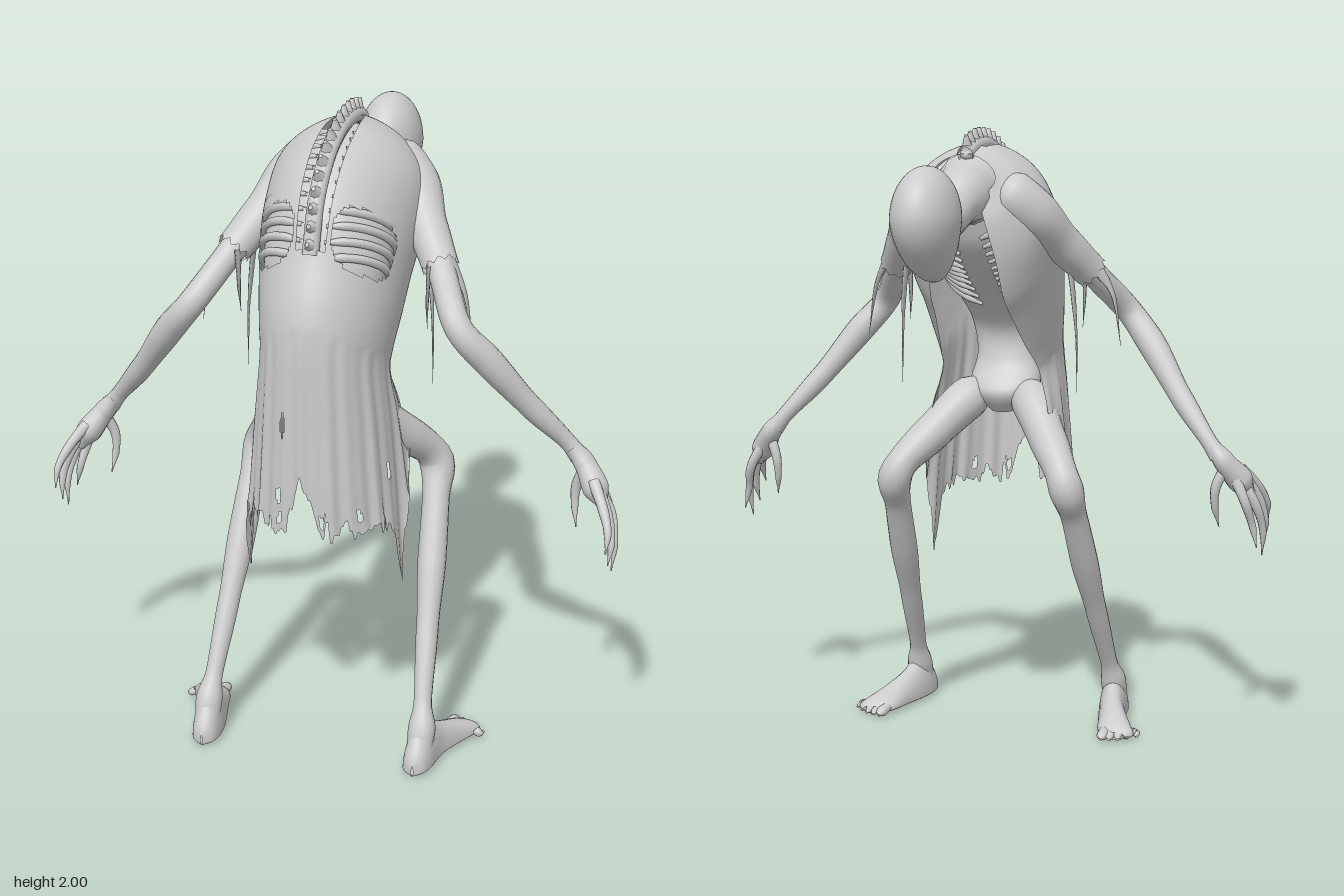
import * as THREE from 'three';
import { mergeVertices } from 'three/addons/utils/BufferGeometryUtils.js';

const grey = new THREE.MeshStandardMaterial({ color: 0xcccccc, side: THREE.DoubleSide });
grey.name = 'ashGrey';
const { lerp, clamp, degToRad } = THREE.MathUtils;

let seed = 7;
const rand = () => (seed = (seed * 16807) % 2147483647) / 2147483647;

function add(parent, name, geometry) {
  const mesh = new THREE.Mesh(geometry, grey);
  mesh.name = name;
  parent.add(mesh);
  return mesh;
}

function smooth(geometry) {
  geometry.deleteAttribute('uv');
  geometry.deleteAttribute('normal');
  const g = mergeVertices(geometry, 1e-5);
  g.computeVertexNormals();
  return g;
}

// Tapering tube through points [x, y, z, radius]; flat squashes it per axis
function limb(points, flat = [1, 1, 1], segs = 28, sides = 14, jag = 0) {
  const path = new THREE.CatmullRomCurve3(points.map(p => new THREE.Vector3(p[0], p[1], p[2])), false, 'centripetal');
  const g = new THREE.TubeGeometry(path, segs, 1, sides);
  const pos = g.attributes.position, v = new THREE.Vector3(), scale = new THREE.Vector3(...flat);
  for (let i = 0; i <= segs; i++) {
    const c = path.getPointAt(i / segs), dir = path.getTangentAt(i / segs);
    const t = path.getUtoTmapping(i / segs) * (points.length - 1);
    const k = Math.min(Math.floor(t), points.length - 2);
    const r = lerp(points[k][3], points[k + 1][3], THREE.MathUtils.smoothstep(t - k, 0, 1));
    for (let j = 0; j <= sides; j++) {
      const n = i * (sides + 1) + j;
      v.fromBufferAttribute(pos, n).sub(c).multiplyScalar(r).multiply(scale).add(c);
      if (i === segs && jag) v.addScaledVector(dir, (j % sides) % 2 ? jag : -jag * 0.4);
      pos.setXYZ(n, v.x, v.y, v.z);
    }
  }
  return smooth(g);
}

// Catmull-Rom value of column c in a table of sections
function sample(table, v, c) {
  const n = table.length - 1, i = clamp(Math.floor(v), 0, n - 1), t = v - i;
  const [p0, p1, p2, p3] = [-1, 0, 1, 2].map(k => table[clamp(i + k, 0, n)][c]);
  return p1 + 0.5 * t * (p2 - p0 + t * (2 * p0 - 5 * p1 + 4 * p2 - p3 + t * (3 * (p1 - p2) + p3 - p0)));
}

// Point on a section: [backZ, backY, frontZ, frontY, halfWidth, sweep in degrees]
function onBody(table, v, t, grow = 0) {
  const [bz, by, fz, fy, w, sweep] = [0, 1, 2, 3, 4, 5].map(c => sample(table, v, c));
  const max = degToRad(sweep), a = t * max;
  const s = (1 - Math.cos(a)) / (1 - Math.cos(max));
  // sloping shoulders: the sides drop a little faster than the depth
  return new THREE.Vector3((w + grow) * Math.sin(a), lerp(by, fy, Math.pow(s, 0.85)), lerp(bz + grow, fz - grow, s));
}

function loft(f, rows, cols, skip = () => false) {
  const pos = [], index = [];
  for (let i = 0; i <= rows; i++)
    for (let j = 0; j <= cols; j++) pos.push(...f(i / rows, (j / cols) * 2 - 1, j).toArray());
  for (let i = 0; i < rows; i++) {
    for (let j = 0; j < cols; j++) {
      if (skip((i + 0.5) / rows, ((j + 0.5) / cols) * 2 - 1)) continue;
      const a = i * (cols + 1) + j, b = a + cols + 1;
      index.push(a, b, a + 1, a + 1, b, b + 1);
    }
  }
  const g = new THREE.BufferGeometry();
  g.setAttribute('position', new THREE.Float32BufferAttribute(pos, 3));
  g.setIndex(index);
  g.computeVertexNormals();
  return g;
}

const coatTable = [
  [-0.07, 1.925, -0.11, 1.80, 0.105, 150], [0.03, 1.95, -0.12, 1.71, 0.18, 152],
  [0.16, 1.945, -0.10, 1.60, 0.235, 152], [0.30, 1.89, -0.05, 1.48, 0.24, 150],
  [0.41, 1.78, 0.02, 1.40, 0.23, 146], [0.47, 1.63, 0.10, 1.31, 0.215, 138],
  [0.525, 1.50, 0.16, 1.25, 0.20, 128], [0.55, 1.38, 0.19, 1.20, 0.193, 120],
  [0.555, 1.20, 0.18, 1.12, 0.215, 116], [0.56, 1.00, 0.17, 1.00, 0.235, 115],
  [0.56, 0.80, 0.17, 0.80, 0.25, 115],
];
const bodyTable = [
  [-0.06, 1.89, -0.10, 1.77, 0.07, 180], [0.03, 1.925, -0.06, 1.73, 0.12, 180],
  [0.15, 1.92, -0.02, 1.64, 0.18, 180], [0.28, 1.865, 0.05, 1.56, 0.202, 180],
  [0.385, 1.765, 0.12, 1.50, 0.197, 180], [0.445, 1.63, 0.22, 1.42, 0.18, 180],
  [0.47, 1.48, 0.30, 1.32, 0.135, 180], [0.45, 1.30, 0.29, 1.22, 0.105, 180],
  [0.42, 1.14, 0.23, 1.13, 0.115, 180], [0.34, 1.06, 0.27, 1.06, 0.035, 180],
];
// Hem height from the middle of the back (0) to the front edge (1)
const hemLine = [[0, 1.0], [0.06, 0.88], [0.1, 0.8], [0.5, 0.79], [0.62, 0.73], [0.72, 0.51], [0.8, 0.8], [1, 1.02]];

function buildCoat(group) {
  const cols = 168;
  const jags = Array.from({ length: cols + 1 }, () => (rand() - 0.5) * 0.08);
  const hem = t => {
    const k = Math.max(1, hemLine.findIndex(h => h[0] >= t));
    const [a, b] = [hemLine[k - 1], hemLine[k]];
    return lerp(a[1], b[1], (t - a[0]) / (b[0] - a[0]));
  };
  const point = (u, t, j) => {
    const v = u * 10, p = onBody(coatTable, v, t);
    const k = clamp((v - 6.6) / 3.4, 0, 1);
    if (k > 0) { // hanging folds and ragged hem
      const fold = Math.cos(t * 38) * 0.6 + Math.cos(t * 61 + 1) * 0.4;
      p.x *= 1 + 0.03 * fold * Math.sqrt(k);
      p.z += 0.006 * (fold - 0.8) * Math.sqrt(k);
      p.y = lerp(p.y, hem(Math.abs(t)) + jags[j >> 1], k * k);
    }
    return p;
  };
  const holes = [[8.95, -0.17], [9.4, -0.16], [9.35, 0.12], [9.3, 0.36], [8.0, -0.15], [9.1, -0.6], [8.6, 0.62]];
  const torn = (u, t) => {
    const v = u * 10, a = Math.abs(t);
    if (v > 0.9 && v < 4.85 && a < 0.083) return true; // along the spine
    const across = (a - 0.29) / 0.18, down = (v - 4.45 + a * 0.3) / 0.6;
    if (Math.pow(Math.abs(across), 3) + Math.pow(Math.abs(down), 3) < 1) return true; // over the ribs
    return holes.some(h => Math.hypot((v - h[0]) / 0.14, (t - h[1]) / 0.018) < 1);
  };
  add(group, 'tornCoat', loft(point, 120, cols, torn));
}

function buildTorso(group) {
  add(group, 'body', smooth(loft((u, t) => onBody(bodyTable, u * 9, t), 54, 48)));
  // Ribs
  for (let i = 0; i < 11; i++) {
    for (const s of [1, -1]) {
      const pts = [];
      for (let k = 0; k <= 10; k++) {
        const t = lerp(0.06, 0.93, k / 10);
        const p = onBody(bodyTable, 1.9 + i * 0.32 - 0.45 * Math.sin(t * Math.PI), s * t, 0.004);
        pts.push([p.x, p.y, p.z, k % 10 ? 0.013 : 0.006]);
      }
      add(group, 'rib', limb(pts, [1, 1, 1], 30, 7));
    }
  }
  // Spine: a continuous ridge of knuckles, each with a short spike
  const ridge = Array.from({ length: 12 }, (_, i) => onBody(coatTable, 0.2 + i * 0.43, 0, -0.012));
  add(group, 'spineRidge', limb(ridge.map(p => [p.x, p.y - 0.006, p.z, 0.026]), [1, 1, 1], 40, 10));
  for (let i = 0; i < 15; i++) {
    const v = 0.35 + i * 0.315;
    const p = onBody(coatTable, v, 0), q = onBody(coatTable, v + 0.05, 0).sub(p).normalize();
    const out = new THREE.Vector3(0, q.z, -q.y);
    const turn = new THREE.Quaternion().setFromUnitVectors(new THREE.Vector3(0, 1, 0), out);
    const bone = add(group, 'vertebra', new THREE.SphereGeometry(0.026, 12, 8));
    bone.position.copy(p).addScaledVector(out, -0.008);
    bone.quaternion.copy(turn);
    bone.scale.set(0.95, 0.8, 1.15);
    const height = lerp(0.055, 0.036, i / 14);
    const spike = add(group, 'spineSpike', new THREE.CylinderGeometry(0.006, 0.022, height, 8));
    spike.quaternion.copy(turn);
    spike.scale.z = 1.2;
    spike.position.copy(p).addScaledVector(out, height / 2 - 0.004);
  }
}

function buildHead(group) {
  const g = new THREE.SphereGeometry(1, 40, 28), pos = g.attributes.position;
  for (let i = 0; i < pos.count; i++) {
    const x = pos.getX(i), y = pos.getY(i), z = pos.getZ(i), d = Math.max(0, -y);
    pos.setXYZ(i, x * 0.102 * (1 - 0.15 * d), 1.755 + y * (y > 0 ? 0.158 : 0.195), -0.417 + z * 0.146 * (1 - 0.1 * d) + 0.07 * d * d);
  }
  add(group, 'head', smooth(g));
  add(group, 'neck', limb([[0, 1.81, 0.0, 0.12], [0, 1.80, -0.09, 0.095], [0, 1.765, -0.17, 0.068], [0, 1.735, -0.25, 0.062], [0, 1.73, -0.36, 0.066]]));
}

// Foot sections from heel to toes: [centreX, z, halfWidth, height], flat underneath
const footTable = [
  [0.345, 0.546, 0.003, 0.04], [0.345, 0.53, 0.032, 0.075], [0.348, 0.49, 0.045, 0.125], [0.352, 0.44, 0.047, 0.145],
  [0.365, 0.38, 0.047, 0.115], [0.39, 0.31, 0.053, 0.085], [0.412, 0.25, 0.061, 0.062], [0.425, 0.215, 0.058, 0.046],
  [0.43, 0.192, 0.03, 0.03],
];

// One arm and one leg; s is the side
function buildLimbs(group, s) {
  const side = pts => pts.map(([x, y, z, r]) => [x * s, y, z, r]);
  const part = (name, pts, ...opts) => add(group, name, limb(side(pts), ...opts));

  part('arm', [[0.17, 1.78, -0.02, 0.05], [0.215, 1.73, 0.04, 0.058], [0.27, 1.64, 0.11, 0.05], [0.345, 1.52, 0.23, 0.042],
    [0.42, 1.405, 0.335, 0.042], [0.50, 1.31, 0.31, 0.046], [0.62, 1.15, 0.24, 0.036], [0.73, 1.02, 0.18, 0.026], [0.76, 0.98, 0.175, 0.03]], [1, 1, 1], 48);
  part('sleeve', [[0.09, 1.82, -0.02, 0.05], [0.135, 1.795, -0.02, 0.082], [0.19, 1.745, 0.01, 0.08], [0.262, 1.64, 0.11, 0.062], [0.325, 1.55, 0.195, 0.056]], [1, 1, 1], 28, 20, 0.012);
  part('sleeveRag', [[0.27, 1.60, 0.15, 0.03], [0.285, 1.48, 0.15, 0.022], [0.295, 1.33, 0.16, 0.01], [0.297, 1.16, 0.16, 0.002]], [0.25, 1, 1], 16, 6);
  part('sleeveRag', [[0.355, 1.56, 0.18, 0.03], [0.40, 1.48, 0.20, 0.018], [0.43, 1.31, 0.20, 0.002]], [0.25, 1, 1], 16, 6);
  part('sleeveRag', [[0.30, 1.56, 0.23, 0.028], [0.297, 1.46, 0.24, 0.015], [0.295, 1.36, 0.23, 0.002]], [0.25, 1, 1], 16, 6);

  // Hand
  part('palm', [[0.74, 1.01, 0.18, 0.026], [0.78, 0.96, 0.18, 0.036], [0.822, 0.90, 0.215, 0.044], [0.852, 0.85, 0.235, 0.02]], [0.9, 1, 1.15]);
  const fingers = [
    [[0.81, 0.92, 0.18], [0.85, 0.84, 0.165], [0.87, 0.76, 0.19], [0.885, 0.69, 0.19]],
    [[0.82, 0.91, 0.21], [0.87, 0.83, 0.215], [0.892, 0.74, 0.245], [0.888, 0.65, 0.26]],
    [[0.83, 0.91, 0.23], [0.87, 0.84, 0.265], [0.89, 0.76, 0.29], [0.885, 0.69, 0.31]],
    [[0.82, 0.93, 0.24], [0.86, 0.87, 0.295], [0.885, 0.81, 0.335], [0.885, 0.75, 0.362]],
    [[0.785, 0.95, 0.18], [0.755, 0.88, 0.165], [0.752, 0.82, 0.17], [0.762, 0.75, 0.19]],
  ];
  for (const f of fingers) part('finger', f.map((p, i) => [...p, [0.019, 0.016, 0.012, 0.002][i]]), [1, 1, 1], 16, 8);

  // Leg
  part('leg', [[0.06, 1.14, 0.34, 0.04], [0.11, 1.10, 0.28, 0.07], [0.20, 0.995, 0.17, 0.062], [0.27, 0.91, 0.085, 0.052], [0.292, 0.86, 0.07, 0.056],
    [0.303, 0.76, 0.125, 0.043], [0.314, 0.60, 0.205, 0.045], [0.328, 0.40, 0.31, 0.035], [0.343, 0.2, 0.415, 0.028], [0.35, 0.125, 0.45, 0.043],
    [0.348, 0.06, 0.475, 0.04]], [1, 1, 1], 60, 16);

  // Foot and toes
  add(group, 'foot', smooth(loft((u, t) => {
    const [x, z, w, h] = [0, 1, 2, 3].map(c => sample(footTable, u * 8, c)), a = t * Math.PI * s;
    return new THREE.Vector3(s * (x + w * Math.sin(a) * s), Math.cos(a) > 0 ? 0.018 + (h - 0.018) * Math.cos(a) : 0.018 + 0.013 * Math.cos(a), z);
  }, 32, 24)));
  for (let i = 0; i < 5; i++) {
    const x = 0.385 + i * 0.022, tipZ = 0.158 + i * i * 0.004, r = i ? 0.015 : 0.02;
    part('toe', [[x, 0.026, 0.24, r], [x + 0.004 + i * 0.002, 0.018, tipZ + 0.022, r], [x + 0.005 + i * 0.004, 0.012, tipZ, 0.005]], [1, 0.8, 1], 10, 8);
  }
}

export function createModel() {
  seed = 7;
  const group = new THREE.Group();
  group.name = 'hunchedFigure';
  buildTorso(group);
  buildCoat(group);
  buildHead(group);
  for (const s of [1, -1]) {
    const limbs = new THREE.Group();
    limbs.name = s > 0 ? 'leftLimbs' : 'rightLimbs';
    buildLimbs(limbs, s);
    group.add(limbs);
  }
  return group;
}
